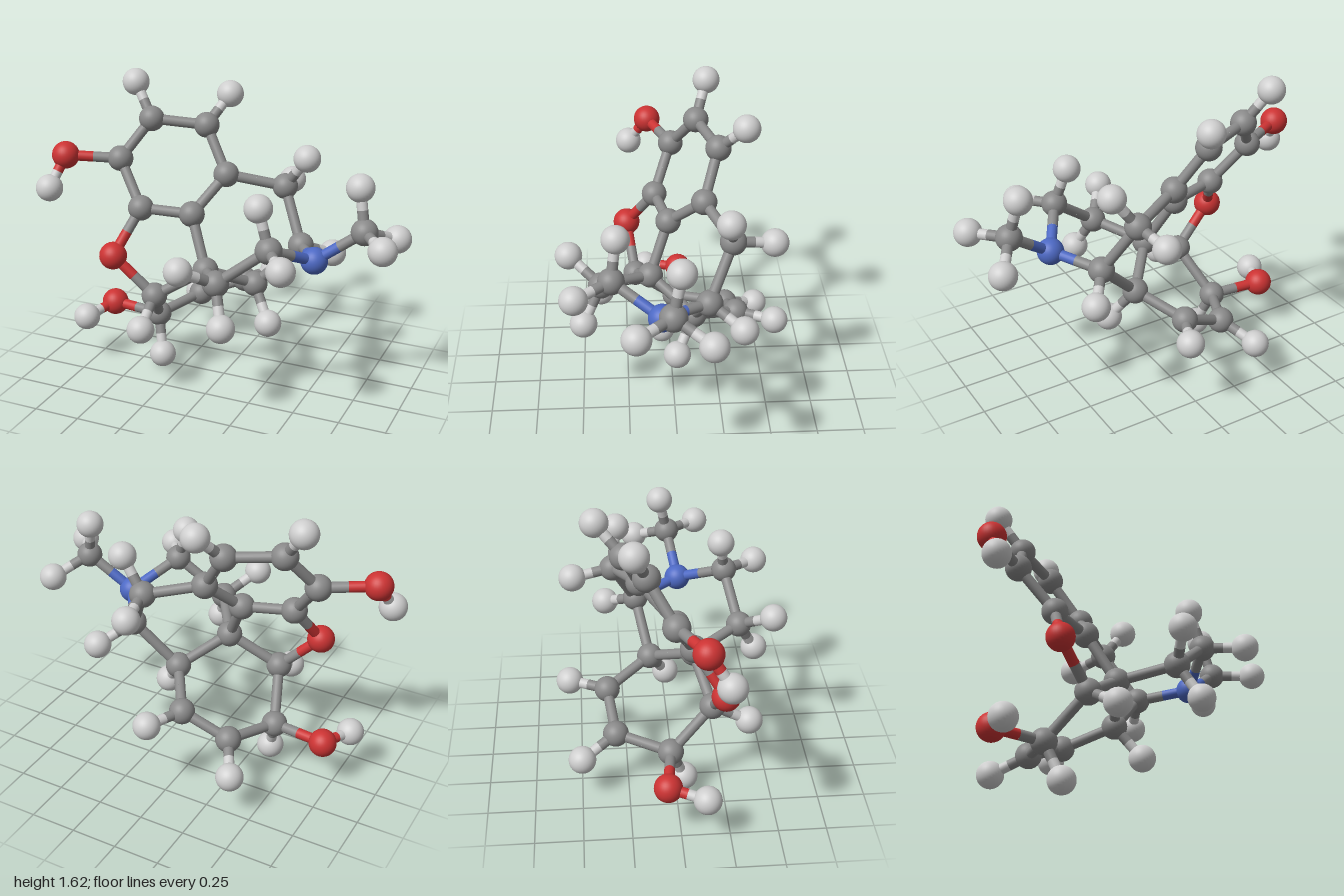
import * as THREE from 'three';

export function createModel() {
  const model = new THREE.Group();
  model.name = 'molecule';

  const material = (name, color) => {
    const m = new THREE.MeshStandardMaterial({ color });
    m.name = name;
    return m;
  };
  const elements = {
    C: { name: 'carbon', radius: 0.069, material: material('grey', 0x8a8a8a) },
    H: { name: 'hydrogen', radius: 0.073, material: material('pale grey', 0xcecece) },
    O: { name: 'oxygen', radius: 0.074, material: material('red', 0xcc3333) },
    N: { name: 'nitrogen', radius: 0.071, material: material('blue', 0x4d69c4) },
  };
  for (const e of Object.values(elements)) e.ball = new THREE.SphereGeometry(e.radius, 32, 20);
  const stick = new THREE.CylinderGeometry(0.028, 0.028, 1, 20, 1, true);
  const up = new THREE.Vector3(0, 1, 0);
  const atoms = {};

  // An atom is a ball of its element's colour
  function addAtom(id, x, y, z) {
    const element = elements[id[0]];
    const ball = new THREE.Mesh(element.ball, element.material);
    ball.name = element.name + 'Atom';
    ball.position.set(x, y, z);
    model.add(ball);
    atoms[id] = { element, position: ball.position };
  }

  // Half a bond takes the colour of the atom it starts from
  function addHalf(from, end) {
    const span = end.clone().sub(from.position);
    const half = new THREE.Mesh(stick, from.element.material);
    half.name = from.element.name + 'BondHalf';
    half.position.copy(from.position).addScaledVector(span, 0.5);
    half.scale.y = span.length();
    half.quaternion.setFromUnitVectors(up, span.normalize());
    model.add(half);
  }
  function addBond(a, b) {
    const middle = atoms[a].position.clone().lerp(atoms[b].position, 0.5);
    addHalf(atoms[a], middle);
    addHalf(atoms[b], middle);
  }

  // Upper flat ring
  addAtom('C1', -0.49, 1.375, -0.15);
  addAtom('C2', -0.21, 1.345, -0.25);
  addAtom('C3', -0.06, 1.11, -0.168);
  addAtom('C4', -0.18, 0.927, 0.015);
  addAtom('C5', -0.45, 0.945, 0.08);
  addAtom('C6', -0.617, 1.173, -0.018);
  // Oxygen bridge and central carbons
  addAtom('O1', -0.542, 0.713, 0.237);
  addAtom('C7', -0.322, 0.503, 0.195);
  addAtom('C8', -0.056, 0.665, 0.118);
  // Side ring with nitrogen
  addAtom('C9', 0.12, 0.725, 0.382);
  addAtom('C10', 0.38, 0.925, 0.325);
  addAtom('N1', 0.533, 0.803, 0.078);
  addAtom('C11', 0.777, 0.98, 0.034);
  addAtom('C12', 0.372, 0.77, -0.17);
  addAtom('C13', 0.23, 1.043, -0.296);
  // Lower ring
  addAtom('C14', 0.137, 0.532, -0.106);
  addAtom('C15', -0.022, 0.432, -0.348);
  addAtom('C16', -0.278, 0.318, -0.312);
  addAtom('C17', -0.41, 0.283, -0.03);
  // Hydroxyl oxygens
  addAtom('O2', -0.884, 1.194, 0.105);
  addAtom('O3', -0.708, 0.286, -0.065);

  const chains = [
    'C1 C2 C3 C4 C5 C6 C1', 'C5 O1 C7 C8 C4', 'C8 C9 C10 N1 C12 C14 C8',
    'N1 C11', 'C3 C13 C12', 'C14 C15 C16 C17 C7', 'C6 O2', 'C17 O3',
  ];
  for (const chain of chains) {
    const ids = chain.split(' ');
    for (let i = 1; i < ids.length; i++) addBond(ids[i - 1], ids[i]);
  }

  // Hydrogens, each bonded to the named atom
  const hydrogens = [
    ['C1', -0.612, 1.552, -0.212], ['C2', -0.13, 1.493, -0.386],
    ['O2', -0.93, 1.034, 0.213], ['O3', -0.786, 0.26, 0.128],
    ['C7', -0.307, 0.39, 0.393],
    ['C9', -0.008, 0.834, 0.55], ['C9', 0.19, 0.531, 0.48],
    ['C10', 0.312, 1.126, 0.298], ['C10', 0.513, 0.907, 0.51],
    ['C11', 0.734, 1.194, -0.008], ['C11', 0.922, 0.966, 0.211], ['C11', 0.9, 0.895, -0.15],
    ['C12', 0.497, 0.683, -0.338],
    ['C13', 0.36, 1.22, -0.27], ['C13', 0.195, 1.01, -0.512],
    ['C14', 0.251, 0.355, -0.013], ['C15', 0.072, 0.434, -0.55],
    ['C16', -0.382, 0.235, -0.494], ['C17', -0.355, 0.076, 0.045],
  ];
  hydrogens.forEach(([parent, x, y, z], i) => {
    addAtom('H' + i, x, y, z);
    addBond(parent, 'H' + i);
  });

  return model;
}
